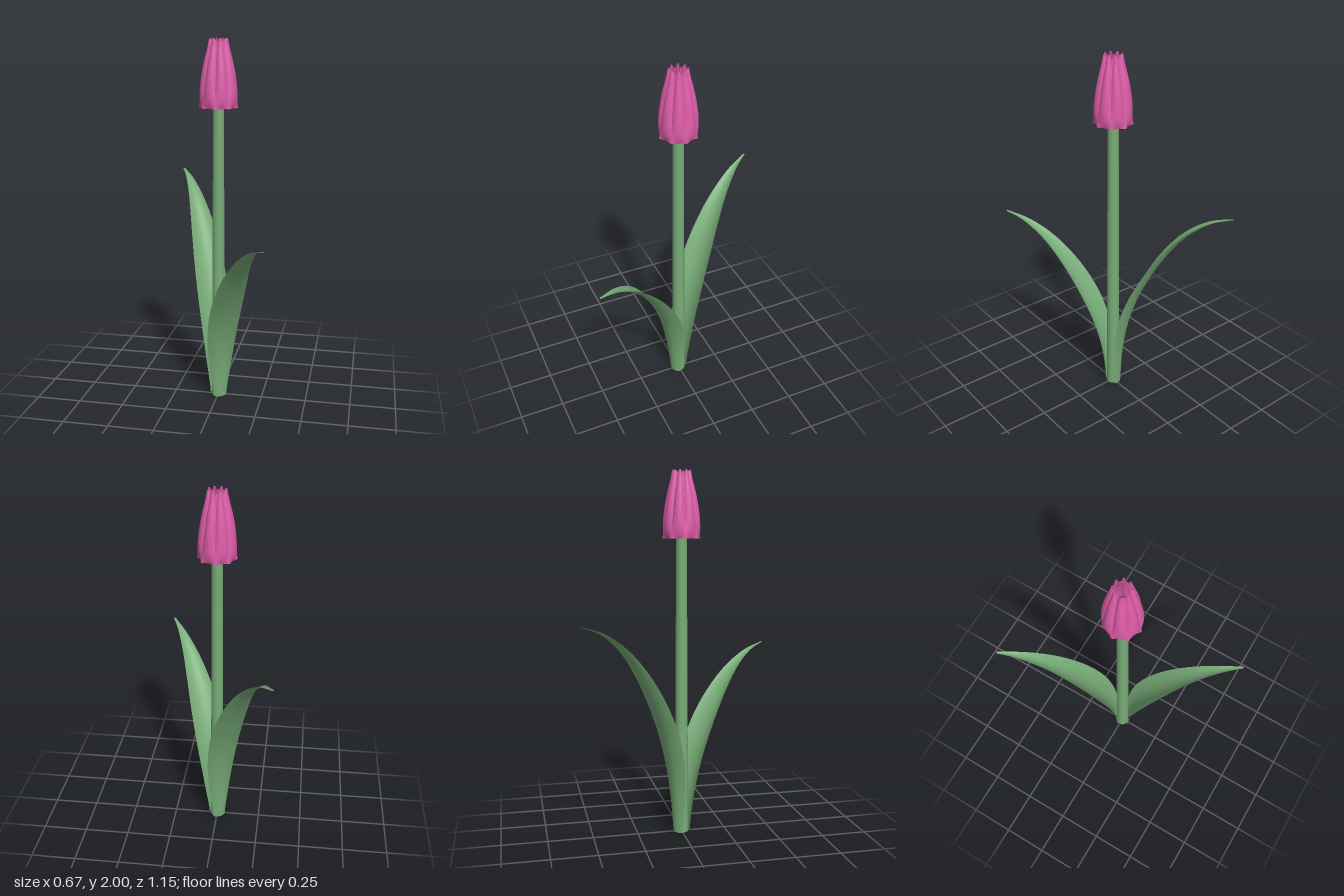
import * as THREE from 'three';

// Smooth curve through [a, b] pairs
const curve = (pts) => new THREE.SplineCurve(pts.map(([a, b]) => new THREE.Vector2(a, b)));

// Open sheet from a rule point(u, v), with u across and v along
function sheet(nu, nv, point) {
  const pos = [], idx = [];
  for (let j = 0; j <= nv; j++) {
    for (let i = 0; i <= nu; i++) pos.push(...point(i / nu, j / nv));
  }
  for (let j = 0; j < nv; j++) {
    for (let i = 0; i < nu; i++) {
      const a = j * (nu + 1) + i, b = a + 1, c = a + nu + 1, d = c + 1;
      idx.push(a, b, d, a, d, c);
    }
  }
  const g = new THREE.BufferGeometry();
  g.setAttribute('position', new THREE.Float32BufferAttribute(pos, 3));
  g.setIndex(idx);
  g.computeVertexNormals();
  return g;
}

// Arching cupped leaf that grows towards +z
function leafGeometry(height) {
  const rib = curve([[0.043, 0], [0.055, 0.22], [0.091, 0.43], [0.158, 0.635],
    [0.27, 0.86], [0.4, 1.045], [0.535, 1.16], [0.66, 1.21]]);
  const width = curve([[0, 0.037], [0.14, 0.063], [0.29, 0.083], [0.43, 0.091],
    [0.57, 0.083], [0.71, 0.062], [0.86, 0.033], [1, 0.006]]);
  const k = height / 1.21;
  return sheet(12, 40, (u, v) => {
    const s = u * 2 - 1;
    const p = rib.getPointAt(v), t = rib.getTangentAt(v);
    const w = width.getPoint(v).y;
    const cup = 0.4 * w * s * s;
    // the cup fades out at the foot so that the edge stays on the ground
    return [w * s, (p.y + t.x * cup * Math.min(1, v * 5)) * k, p.x - t.y * cup];
  });
}

// Petal with a fluted, flaring foot that closes in to a blunt tip
function petalGeometry(scale, top, spread) {
  const profile = curve([[0.105, 0], [0.109, 0.1], [0.105, 0.25],
    [0.094, 0.46], [0.077, 0.68], [0.06, 0.86], [0.05, 1]]);
  const span = curve([[0, 0.95], [0.17, 1.05], [0.33, 1.05], [0.5, 1.05],
    [0.67, 1.1], [0.84, 1], [1, 0.55]]);
  const base = 1.64;
  return sheet(8, 20, (u, v) => {
    const s = u * 2 - 1;
    const p = profile.getPoint(v);
    const a = s * spread * span.getPoint(v).y;
    const foot = (1 - v) ** 3;
    const r = p.x * scale * (1 - 0.22 * s * s * (1 - foot) - 0.15 * foot * (1 - s * s));
    const y = base + p.y * (top - base) - 0.012 * s * s * v;
    return [r * Math.sin(a), y, r * Math.cos(a)];
  });
}

export function createModel() {
  const green = new THREE.MeshStandardMaterial({ color: 0x78ac78, side: THREE.DoubleSide });
  green.name = 'leaf green';
  const pink = new THREE.MeshStandardMaterial({ color: 0xdd5ca8, side: THREE.DoubleSide });
  pink.name = 'petal pink';

  const model = new THREE.Group();
  model.name = 'tulip';
  const add = (name, geometry, material, turn = 0) => {
    const mesh = new THREE.Mesh(geometry, material);
    mesh.name = name;
    mesh.rotation.y = turn;
    model.add(mesh);
    return mesh;
  };

  // Stem, a little thicker at the foot
  add('stem', new THREE.CylinderGeometry(0.029, 0.038, 1.66, 20), green).position.y = 0.83;

  // Two opposite leaves
  add('frontLeaf', leafGeometry(1.02), green, Math.PI / 6);
  add('backLeaf', leafGeometry(1.21), green, Math.PI / 6 + Math.PI);

  // Two rings of overlapping petals
  const outer = petalGeometry(1, 2, 0.4);
  const inner = petalGeometry(0.85, 1.985, 0.4);
  for (let i = 0; i < 8; i++) {
    const turn = (i * Math.PI) / 4;
    add('outerPetal', outer, pink, turn + Math.PI / 8);
    add('innerPetal', inner, pink, turn);
  }

  // Heart of the flower, seen between the petal tips and from below
  const heart = [[0.001, 1.9], [0.026, 1.87], [0.045, 1.78], [0.075, 1.66], [0.028, 1.645]];
  add('flowerHeart', new THREE.LatheGeometry(heart.map(([x, y]) => new THREE.Vector2(x, y)), 16), pink);

  return model;
}
